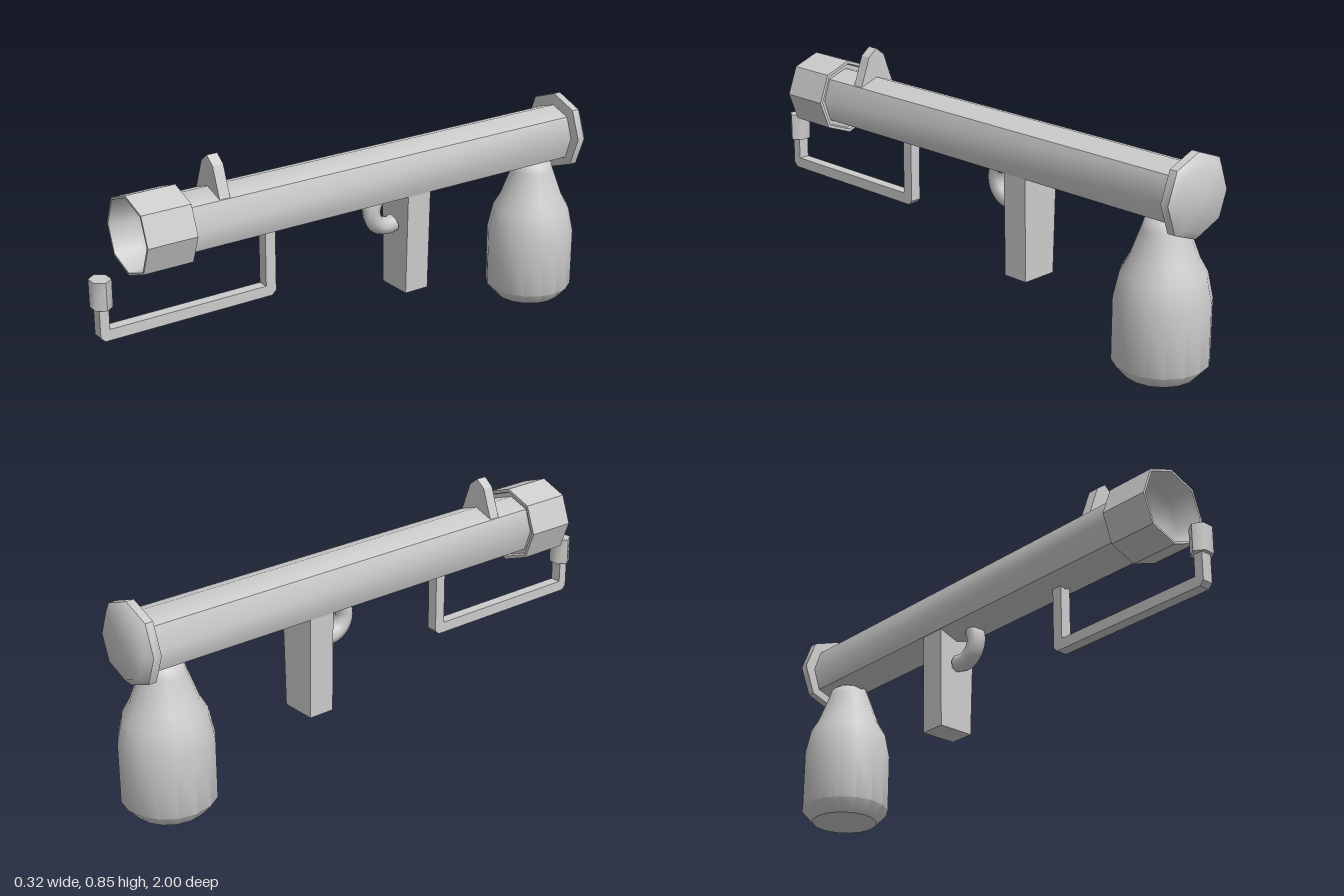
import * as THREE from 'three';
import { toCreasedNormals } from 'three/addons/utils/BufferGeometryUtils.js';

const AXIS_Y = 0.638;
const rad = THREE.MathUtils.degToRad;

export function createModel() {
  const group = new THREE.Group();
  const material = new THREE.MeshStandardMaterial({ color: 0xcccccc });

  function add(name, geometry, x = 0, y = 0, z = 0, crease = 30) {
    const mesh = new THREE.Mesh(toCreasedNormals(geometry, rad(crease)), material);
    mesh.name = name;
    mesh.position.set(x, y, z);
    group.add(mesh);
    return mesh;
  }

  // Revolved profile of [radius, height] pairs, listed bottom to top on the outside
  const lathe = (pts, sides) =>
    new THREE.LatheGeometry(pts.map(([r, h]) => new THREE.Vector2(r, h)), sides);

  // Eight-sided profile along z, with its diagonal corners pushed out by a factor
  function octagon(pts, bulge = 1) {
    const g = lathe(pts, 8);
    g.rotateX(Math.PI / 2);
    const p = g.attributes.position;
    for (let i = 0; i < p.count; i++) {
      const x = p.getX(i), y = p.getY(i);
      if (Math.abs(x) > 1e-4 && Math.abs(y) > 1e-4) p.setXY(i, x * bulge, y * bulge);
    }
    return g;
  }

  // Barrel
  add('barrel', octagon([[0.105, -0.94], [0.105, 0.705]], 1.05), 0, AXIS_Y, 0, 45);

  // Muzzle: faceted shell with a shallow recess behind, and a smooth bowl inside
  add('muzzle', octagon([[0.095, 0.695], [0.122, 0.695], [0.126, 0.68], [0.137, 0.68],
    [0.137, 0.862], [0.129, 0.862]], 1.03), 0, AXIS_Y, 0, 35);
  add('muzzleBore', octagon([[0.129, 0.862], [0.118, 0.77], [0.09, 0.725], [0, 0.71]], 1.03),
    0, AXIS_Y, 0, 70);

  // Rear flange with a chamfered back
  add('rearFlange', octagon([[0, -0.982], [0.118, -0.98], [0.143, -0.957],
    [0.143, -0.928], [0.09, -0.926]], 1.03), 0, 0.643, 0, 44);

  // Front sight
  const outline = [[-0.085, 0.69], [0.085, 0.69], [0.062, 0.75], [0.036, 0.822],
    [0, 0.85], [-0.036, 0.822], [-0.062, 0.75]];
  const sightShape = new THREE.Shape(outline.map(([x, y]) => new THREE.Vector2(x, y)));
  const sight = new THREE.ExtrudeGeometry(sightShape, { depth: 0.04, bevelEnabled: false });
  add('frontSight', sight, 0, 0, 0.521);

  // Support bar: square rod bent twice, with mitred corners chamfered outside
  const bar = new THREE.Shape();
  [[0.318, 0.56], [0.318, 0.345], [0.952, 0.345], [0.952, 0.44], [0.986, 0.44], [0.986, 0.32],
    [0.97, 0.304], [0.332, 0.304]].forEach(([z, y], i) => (i ? bar.lineTo(z, y) : bar.moveTo(z, y)));
  // Swap to the outer leg of the bar
  const rod = new THREE.Shape([[0.318, 0.56], [0.358, 0.56], [0.358, 0.343], [0.952, 0.343],
    [0.952, 0.44], [0.986, 0.44], [0.986, 0.32], [0.97, 0.304], [0.334, 0.304], [0.318, 0.32]]
    .map(([z, y]) => new THREE.Vector2(z, y)));
  const rodGeometry = new THREE.ExtrudeGeometry(rod, { depth: 0.041, bevelEnabled: false });
  rodGeometry.rotateY(-Math.PI / 2);
  add('supportBar', rodGeometry, 0.023, 0, 0);

  // Six-sided knob on the bar's end
  const knob = new THREE.CylinderGeometry(0.042, 0.042, 0.097, 6);
  knob.rotateY(Math.PI / 2);
  knob.scale(1, 1, 0.86);
  add('barKnob', knob, 0.003, 0.468, 0.968, 62);

  // Curved trigger, from the barrel round to the grip
  const arc = [];
  for (let i = 0; i <= 10; i++) {
    const a = rad(-35 + i * 15);
    arc.push(new THREE.Vector3(0, 0.505 - 0.067 * Math.sin(a), -0.163 + 0.067 * Math.cos(a)));
  }
  add('trigger', new THREE.TubeGeometry(new THREE.CatmullRomCurve3(arc), 16, 0.033, 8),
    0, 0, 0, 60);

  // Grip, slightly wider at the top
  const grip = new THREE.BoxGeometry(0.136, 0.38, 0.097);
  const gp = grip.attributes.position;
  for (let i = 0; i < gp.count; i++) if (gp.getY(i) > 0) gp.setX(i, gp.getX(i) * 1.13);
  add('grip', grip, 0, 0.38, -0.249);

  // Bottle-shaped tank under the rear
  add('tank', lathe([[0, 0.002], [0.12, 0.012], [0.161, 0.058], [0.161, 0.272], [0.142, 0.362],
    [0.115, 0.41], [0.078, 0.51], [0.068, 0.54], [0.045, 0.555], [0, 0.558]], 16),
    0, 0, -0.836, 42);

  return group;
}
